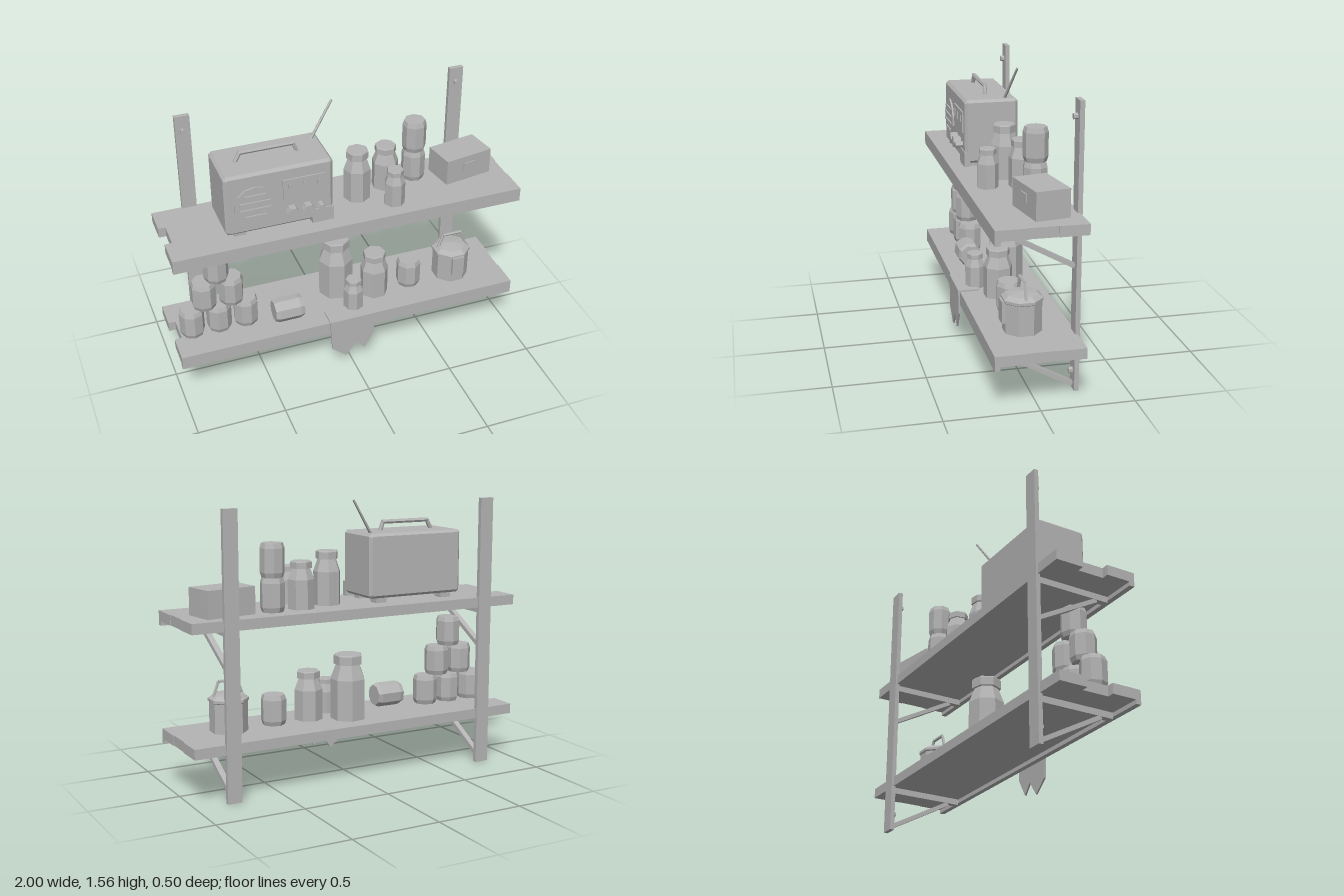
import * as THREE from 'three';

export function createModel() {
  const root = new THREE.Group();
  const grey = new THREE.MeshStandardMaterial({ color: 0xb4b4b4 });
  grey.name = 'plain grey';

  // Adds a faceted mesh
  function add(name, geo, x = 0, y = 0, z = 0, parent = root) {
    const g = geo.index ? geo.toNonIndexed() : geo;
    g.computeVertexNormals();
    const m = new THREE.Mesh(g, grey);
    m.name = name;
    m.position.set(x, y, z);
    parent.add(m);
    return m;
  }
  // Box given by its extents
  function box(name, x0, x1, y0, y1, z0, z1, parent = root) {
    return add(name, new THREE.BoxGeometry(x1 - x0, y1 - y0, z1 - z0),
      (x0 + x1) / 2, (y0 + y1) / 2, (z0 + z1) / 2, parent);
  }
  // Round rod between two points
  function rod(name, a, b, r, sides = 6, r2 = r) {
    const p = new THREE.Vector3(...a), q = new THREE.Vector3(...b);
    const d = q.clone().sub(p);
    const m = add(name, new THREE.CylinderGeometry(r2, r, d.length(), sides));
    m.position.copy(p).add(q).multiplyScalar(0.5);
    m.quaternion.setFromUnitVectors(new THREE.Vector3(0, 1, 0), d.normalize());
    return m;
  }
  const turned = (pts, sides) =>
    new THREE.LatheGeometry(pts.map(p => new THREE.Vector2(p[0], p[1])), sides);

  function bottle(x, y, z, r, h, turn) {
    const g = turned([[0, 0], [r, 0], [r, h * 0.62], [r * 0.68, h * 0.85], [r * 0.82, h * 0.85],
      [r * 0.82, h * 0.98], [r * 0.76, h], [0, h]], 7);
    add('bottle', g, x, y, z).rotation.y = turn;
  }
  function can(x, y, z, turn, h = 0.17, r = 0.071) {
    const g = turned([[0, 0], [r * 0.87, 0], [r, h * 0.15], [r, h * 0.85], [r * 0.87, h], [0, h]], 8);
    const m = add('can', g, x, y, z);
    m.rotation.y = turn;
    return m;
  }

  // Shelves: three planks, front lip, brackets with braces
  for (const top of [0.32, 0.975]) {
    const low = top - 0.057;
    box('backPlank', -1, 1, low, top, -0.238, -0.08);
    box('middlePlank', -0.96, 0.995, low, top, -0.08, 0.07);
    box('frontPlank', -1, 1, low, top, 0.07, 0.238);
    box('frontLip', -1, 1, top - 0.08, low, 0.208, 0.238);
    for (const x of [-0.79, 0.784]) {
      box('bracketArm', x - 0.018, x + 0.018, low - 0.035, low, -0.225, 0.208);
      const brace = add('bracketBrace', new THREE.BoxGeometry(0.032, 0.024, 0.41), x, low - 0.135, -0.042);
      brace.rotation.x = -0.5;
    }
  }

  // Wall posts with bolts
  for (const x of [-0.79, 0.784]) {
    box('post', x - 0.041, x + 0.041, 0, 1.545, -0.25, -0.225);
    for (const y of [0.105, 1.46])
      add('bolt', new THREE.CylinderGeometry(0.016, 0.016, 0.022, 6), x, y, -0.214).rotation.x = Math.PI / 2;
  }

  // Radio body with chamfered edges
  const c = 0.015, w = 0.298, hh = 0.18;
  const outline = new THREE.Shape();
  [[-w + c, -hh], [w - c, -hh], [w, -hh + c], [w, hh - c], [w - c, hh], [-w + c, hh], [-w, hh - c], [-w, -hh + c]]
    .forEach((p, i) => i ? outline.lineTo(...p) : outline.moveTo(...p));
  add('radioBody', new THREE.ExtrudeGeometry(outline, {
    depth: 0.274, bevelEnabled: true, bevelThickness: c, bevelSize: c, bevelOffset: -c, bevelSegments: 1,
  }), -0.388, 1.183, -0.129);
  box('cornerPlate', -0.21, -0.09, 0.985, 1.07, 0.13, 0.166);
  for (const x of [-0.603, -0.175]) for (const z of [-0.09, 0.1])
    box('radioFoot', x - 0.034, x + 0.034, 0.975, 1.006, z - 0.03, z + 0.03);

  // Radio front: speaker, dial and knobs
  add('speaker', new THREE.CylinderGeometry(0.115, 0.115, 0.012, 14), -0.525, 1.17, 0.164).rotation.x = Math.PI / 2;
  for (let i = 0; i < 4; i++) {
    const half = i === 0 || i === 3 ? 0.06 : 0.085;
    box('speakerSlat', -0.525 - half, -0.525 + half, 1.105 + i * 0.042, 1.115 + i * 0.042, 0.168, 0.178);
  }
  box('dial', -0.37, -0.14, 1.17, 1.29, 0.155, 0.168);
  for (const x of [-0.335, -0.255, -0.175]) box('dialMark', x - 0.005, x + 0.005, 1.225, 1.265, 0.166, 0.174);
  for (const [x, r] of [[-0.326, 0.033], [-0.238, 0.033], [-0.166, 0.019]]) {
    const k = add('knob', new THREE.CylinderGeometry(r, r, 0.045, 6), x, 1.097, 0.18);
    k.rotation.set(Math.PI / 2, Math.PI / 6, 0);
  }

  // Radio handle and aerial
  const hz = 0.012;
  rod('handleBar', [-0.56, 1.412, hz], [-0.255, 1.412, hz], 0.013);
  rod('handleLeg', [-0.585, 1.355, hz], [-0.552, 1.415, hz], 0.012);
  rod('handleLeg', [-0.24, 1.355, hz], [-0.263, 1.415, hz], 0.012);
  rod('aerial', [-0.14, 1.35, -0.072], [0, 1.552, -0.115], 0.009, 5, 0.007);

  // Upper shelf goods
  bottle(0.111, 0.975, -0.015, 0.076, 0.3, 0.1);
  bottle(0.3, 0.975, -0.07, 0.074, 0.26, 0.5);
  bottle(0.283, 0.975, 0.115, 0.058, 0.215, 0.3);
  can(0.482, 0.975, -0.095, 0.2, 0.185, 0.067);
  can(0.482, 1.16, -0.095, 0.5, 0.185, 0.067);

  // Carton with labels front and back
  const carton = new THREE.Group();
  carton.name = 'carton';
  carton.position.set(0.754, 0.975, -0.055);
  carton.rotation.y = 0.165;
  root.add(carton);
  box('cartonBody', -0.146, 0.146, 0, 0.15, -0.093, 0.093, carton);
  for (const s of [-1, 1]) box('cartonLabel', -0.036, 0.036, 0.065, 0.11, s * 0.095 - 0.004, s * 0.095 + 0.004, carton);

  // Can pyramid and a fallen can
  for (let row = 0; row < 3; row++)
    for (let i = 0; i < 3 - row; i++)
      can(-0.888 + row * 0.078 + i * 0.156, 0.32 + row * 0.17, 0.04, row * 0.35 + i * 0.5);
  can(-0.43, 0.387, 0.1, 0.25).rotation.set(0.25, 0, -Math.PI / 2);

  // Lower shelf goods
  bottle(-0.003, 0.32, -0.05, 0.1, 0.37, 0.2);
  bottle(0.203, 0.32, 0.04, 0.081, 0.28, 0.5);
  bottle(0.04, 0.32, 0.135, 0.057, 0.2, 0);
  can(0.424, 0.32, 0.03, 0.2);

  // Lidded pot with label and bail handle
  add('pot', turned([[0, 0], [0.105, 0], [0.105, 0.165], [0.112, 0.17], [0.112, 0.185], [0.085, 0.205], [0, 0.215]], 8),
    0.696, 0.32, 0.025).rotation.y = Math.PI / 8;
  box('potLabel', 0.66, 0.732, 0.375, 0.495, 0.11, 0.14);
  const bail = [[0.61, 0.51, 0.025], [0.642, 0.598, 0.025], [0.752, 0.598, 0.025], [0.785, 0.51, 0.025]];
  for (let i = 0; i < 3; i++) rod('potHandle', bail[i], bail[i + 1], 0.009, 5);

  // Ragged cloth over the shelf edge
  box('clothTop', -0.14, 0.125, 0.32, 0.33, 0.13, 0.248);
  const rag = new THREE.Shape();
  [[-0.142, 0.33], [-0.13, 0.134], [-0.045, 0.064], [0.016, 0.15], [0.067, 0.09], [0.125, 0.19], [0.125, 0.33]]
    .forEach((p, i) => i ? rag.lineTo(...p) : rag.moveTo(...p));
  add('clothDrop', new THREE.ExtrudeGeometry(rag, { depth: 0.01, bevelEnabled: false }), 0, 0, 0.24);

  return root;
}
